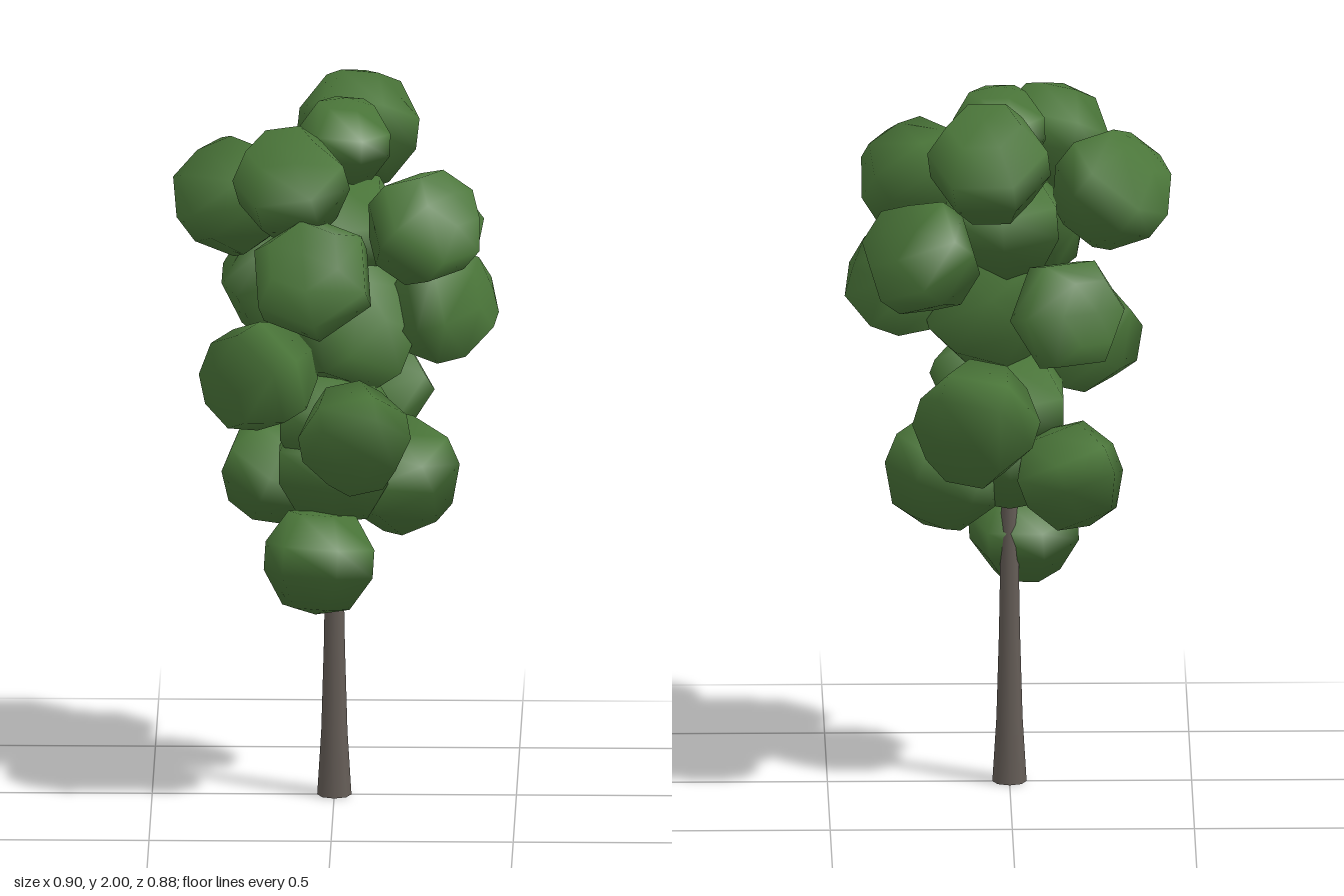
import * as THREE from 'three';

const leafGreen = new THREE.MeshStandardMaterial({ color: 0x4a7539 });
const barkBrown = new THREE.MeshStandardMaterial({ color: 0x655d57 });
leafGreen.name = 'leafGreen';
barkBrown.name = 'barkBrown';

const CROWN = new THREE.Vector3(0, 1.32, 0);
const UP = new THREE.Vector3(0, 1, 0);
const CLUMP_PROFILE = [[0, -0.9], [0.6, -0.82], [0.97, -0.25], [0.97, 0.25], [0.6, 0.83], [0, 0.96]];

// Six-sided clump growing away from the crown centre, softly shaded along its axis
function leafClump(x, y, z, r, twist = 0) {
  const points = CLUMP_PROFILE.map(([px, py]) => new THREE.Vector2(px * r, py * r));
  const geo = new THREE.LatheGeometry(points, 6, twist);
  const { position, normal } = geo.attributes;
  const v = new THREE.Vector3();
  for (let i = 0; i < position.count; i++) {
    v.fromBufferAttribute(position, i);
    v.y *= 3;
    v.normalize();
    normal.setXYZ(i, v.x, v.y, v.z);
  }
  const mesh = new THREE.Mesh(geo, leafGreen);
  mesh.position.set(x, y, z);
  mesh.quaternion.setFromUnitVectors(UP, mesh.position.clone().sub(CROWN).normalize());
  return mesh;
}

export function createModel() {
  const tree = new THREE.Group();
  tree.name = 'tree';

  // Tapered trunk with a flared foot, running up inside the crown
  const profile = [[0.047, 0], [0.036, 0.18], [0.029, 0.42], [0.024, 0.7], [0.016, 1.1], [0.006, 1.6]];
  const trunk = new THREE.Mesh(
    new THREE.LatheGeometry(profile.map(([r, y]) => new THREE.Vector2(r, y)), 8), barkBrown);
  trunk.name = 'trunk';
  const foot = new THREE.Mesh(new THREE.CircleGeometry(0.047, 8), barkBrown);
  foot.rotation.x = Math.PI / 2;
  foot.name = 'trunkBase';
  tree.add(trunk, foot);

  // Outer clumps: x, y, z, radius, twist about the growing axis
  const clumps = [
    [0.06, 1.825, -0.25, 0.172, 0.4],
    [0.028, 1.855, 0, 0.13, 0.4],
    [-0.115, 1.78, 0.185, 0.162, 0.4],
    [-0.28, 1.69, -0.03, 0.168, 0.4],
    [0.25, 1.665, 0.2, 0.165, 0.4],
    [-0.055, 1.535, 0.26, 0.178],
    [0.245, 1.54, -0.18, 0.166],
    [0.29, 1.41, 0.055, 0.165],
    [-0.155, 1.395, -0.245, 0.166],
    [-0.205, 1.23, 0.16, 0.163],
    [0.095, 1.09, -0.26, 0.176],
    [0.06, 1.08, 0.255, 0.157],
    [0.175, 0.9, -0.05, 0.17],
    [-0.165, 0.9, -0.11, 0.155],
    [-0.04, 0.695, 0.11, 0.157],
  ];
  clumps.forEach((c, i) => {
    const clump = leafClump(...c);
    clump.name = 'leafClump' + (i + 1);
    tree.add(clump);
  });

  // Inner clumps filling the crown around the trunk
  const inner = [
    [0, 0.95, 0.02, 0.178],
    [0, 1.07, 0.02, 0.175],
    [0.05, 1.36, 0.03, 0.205],
    [0.02, 1.6, 0, 0.18],
  ];
  inner.forEach((c, i) => {
    const clump = leafClump(...c);
    clump.name = 'innerLeaves' + (i + 1);
    tree.add(clump);
  });

  return tree;
}
